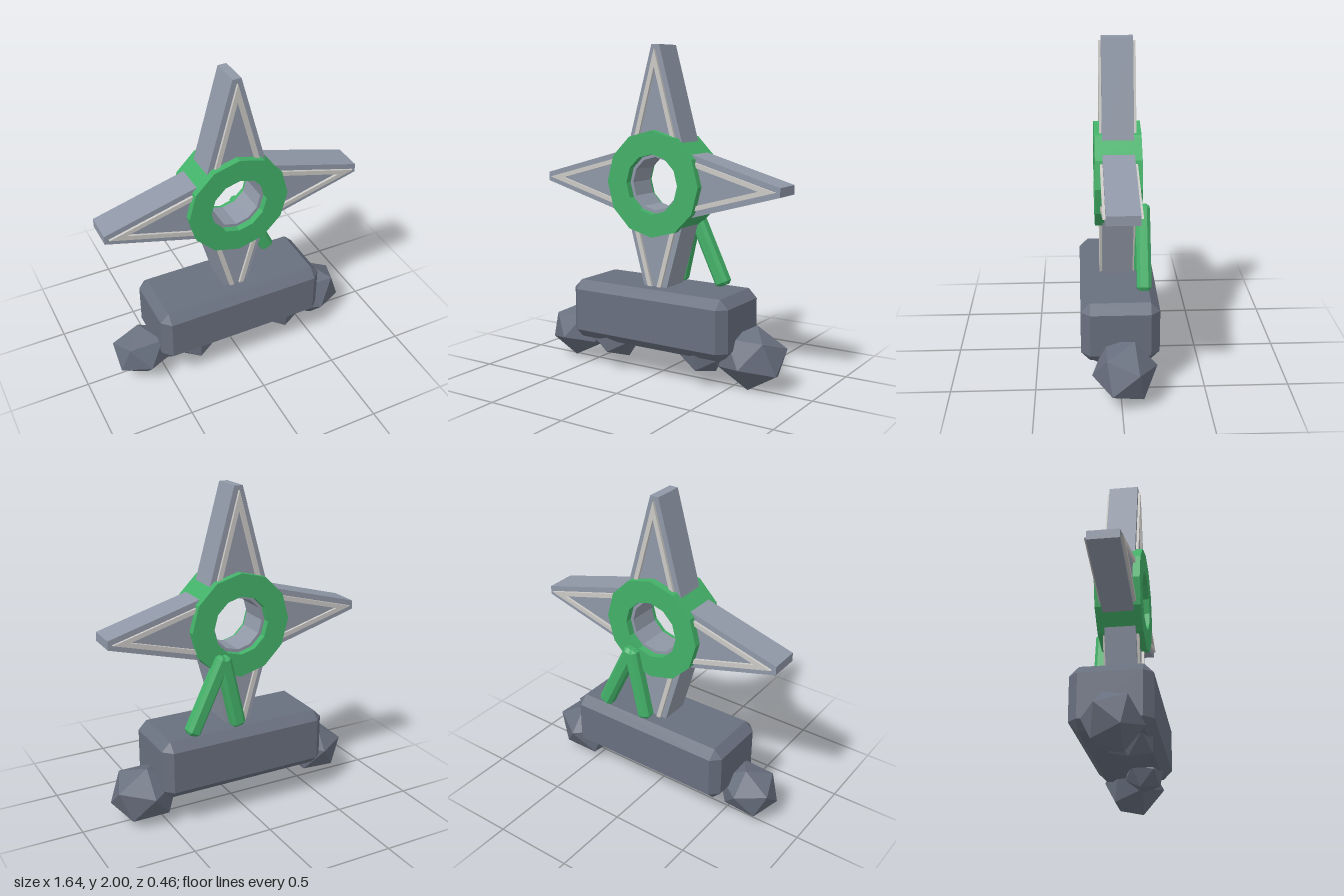
import * as THREE from 'three';
import { ConvexGeometry } from 'three/addons/geometries/ConvexGeometry.js';

const material = (name, color) => {
  const m = new THREE.MeshStandardMaterial({ color, flatShading: true });
  m.name = name;
  return m;
};

// Box with every edge cut at 45 degrees
function chamferBox(w, h, d, c) {
  const points = [];
  for (const sx of [-1, 1]) for (const sy of [-1, 1]) for (const sz of [-1, 1]) {
    for (let axis = 0; axis < 3; axis++) {
      const half = [w / 2, h / 2, d / 2].map((v, i) => (i === axis ? v : v - c));
      points.push(new THREE.Vector3(sx * half[0], sy * half[1], sz * half[2]));
    }
  }
  return new ConvexGeometry(points);
}

const polygon = (radius, sides) => Array.from({ length: sides }, (_, i) => {
  const a = (i / sides) * Math.PI * 2;
  return new THREE.Vector2(radius * Math.cos(a), radius * Math.sin(a));
});

// Flat outline with an optional hole, extruded evenly about z = 0
function plate(outline, hole, depth) {
  const shape = new THREE.Shape(outline);
  if (hole) shape.holes.push(new THREE.Path(hole));
  return new THREE.ExtrudeGeometry(shape, { depth, bevelEnabled: false }).translate(0, 0, -depth / 2);
}

export function createModel() {
  const model = new THREE.Group();
  const steel = material('steel', 0x9098a7);
  const stone = material('darkStone', 0x686f7e);
  const green = material('green', 0x43b168);
  const silver = material('paleTrim', 0xcbc9c5);

  function add(parent, name, geometry, mat, x = 0, y = 0, z = 0) {
    const mesh = new THREE.Mesh(geometry, mat);
    mesh.name = name;
    mesh.position.set(x, y, z);
    parent.add(mesh);
    return mesh;
  }

  // Four-pointed star with a round hole
  const star = new THREE.Group();
  star.name = 'star';
  star.position.y = 1.18;
  model.add(star);

  const outline = [];
  const centre = new THREE.Vector2();
  for (let i = 0; i < 4; i++) {
    for (const [x, y] of [[0.82, -0.027], [0.82, 0.027], [0.2, 0.2]]) {
      outline.push(new THREE.Vector2(x, y).rotateAround(centre, i * Math.PI / 2));
    }
  }
  add(star, 'starBody', plate(outline, polygon(0.16, 12), 0.185), steel);

  // Twelve-sided hub ring
  add(star, 'hubRing', plate(polygon(0.32, 12), polygon(0.18, 12), 0.272), green);

  // Raised V-shaped trim on both faces of each point
  const v = [[0.795, 0], [0.25, 0.15], [0.25, 0.121], [0.69, 0], [0.25, -0.121], [0.25, -0.15]]
    .map(([x, y]) => new THREE.Vector2(x, y));
  const trim = plate(v, null, 0.016);
  for (let i = 0; i < 4; i++) {
    for (const side of [-1, 1]) {
      const strip = add(star, 'pointTrim', trim, silver, 0, 0, side * 0.1);
      strip.rotation.z = i * Math.PI / 2;
    }
  }

  // Base block
  add(model, 'base', chamferBox(1.1, 0.366, 0.46, 0.054), stone, 0, 0.372, 0);

  // Pair of props behind the star, meeting at the hub
  const props = [
    { name: 'outerProp', foot: [0.345, 0.557], head: [0.125, 1.015] },
    { name: 'innerProp', foot: [0.03, 0.557], head: [0.135, 1.015] },
  ];
  for (const { name, foot, head } of props) {
    const dx = head[0] - foot[0], dy = head[1] - foot[1];
    const prop = add(model, name, chamferBox(0.09, Math.hypot(dx, dy), 0.086, 0.02), green,
      (foot[0] + head[0]) / 2, (foot[1] + head[1]) / 2, -0.147);
    prop.rotation.z = -Math.atan2(dx, dy);
  }

  // Rocks: x, y, z, radius, tilt about x, tilt about z
  const rocks = [
    [-0.627, 0.188, 0.03, 0.172, 0.71, 0.05],
    [0.607, 0.182, -0.02, 0.19, 0.71, 0],
    [-0.295, 0.2, 0.08, 0.14, 0.05, 0],
    [0.33, 0.19, 0.08, 0.125, 0.2, 0],
  ];
  for (const [x, y, z, r, rx, rz] of rocks) {
    const rock = add(model, 'rock', new THREE.IcosahedronGeometry(r, 0), stone, x, y, z);
    rock.scale.x = 1.17;
    rock.rotation.set(rx, 0, rz);
  }

  return model;
}
